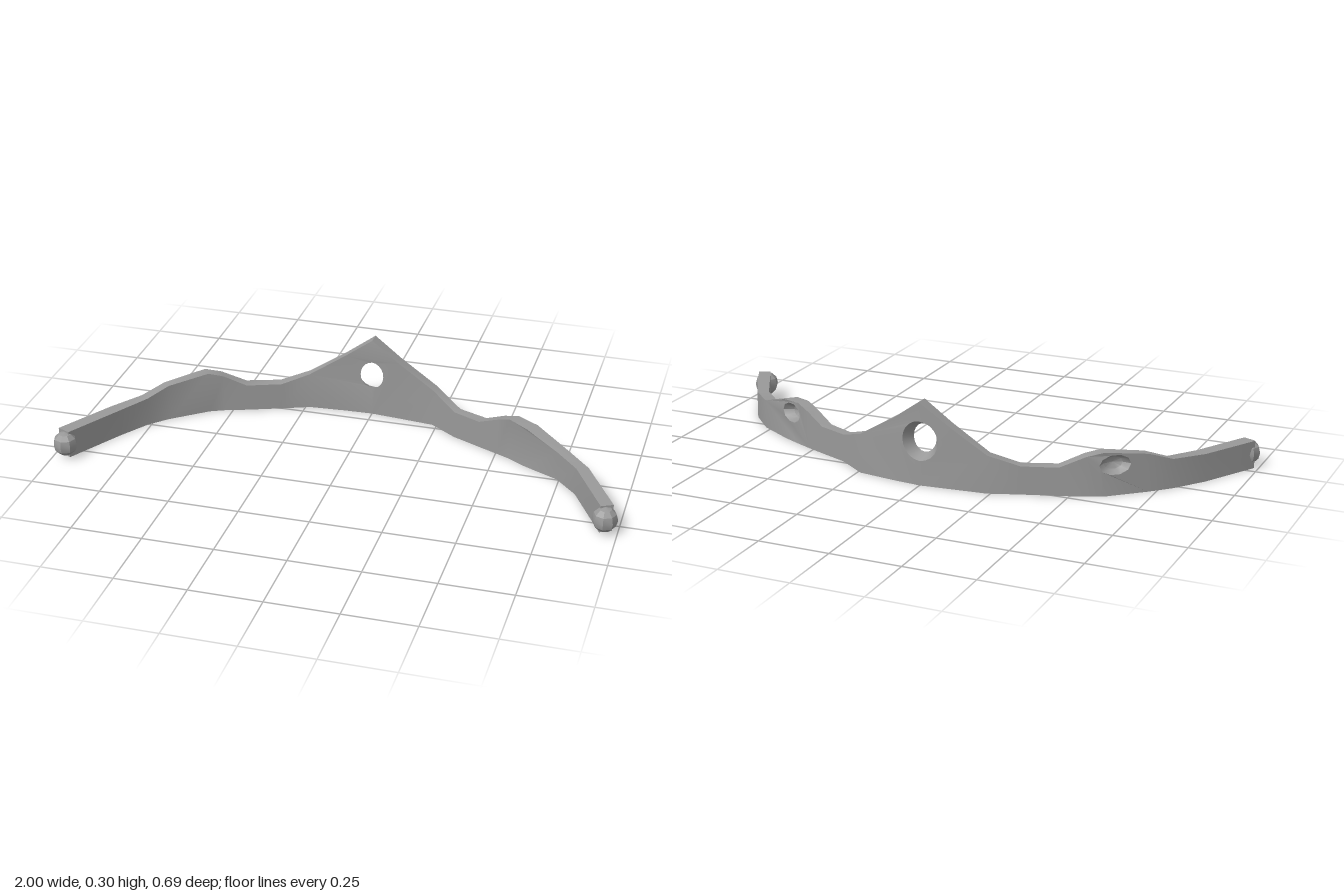
import * as THREE from 'three';
import { toCreasedNormals } from 'three/addons/utils/BufferGeometryUtils.js';

// Band stations: inner x, inner z, outer x, outer z, top height
const stations = [
  [-0.94, 0.305, -0.985, 0.285, 0.1], [-0.83, 0.11, -0.87, 0.085, 0.1],
  [-0.76, 0.0, -0.79, -0.02, 0.105], [-0.7, -0.06, -0.725, -0.085, 0.135],
  [-0.58, -0.155, -0.605, -0.19, 0.155], [-0.53, -0.178, -0.55, -0.215, 0.14],
  [-0.45, -0.205, -0.465, -0.245, 0.1], [-0.33, -0.25, -0.345, -0.285, 0.1],
  [-0.235, -0.288, -0.24, -0.323, 0.135], [-0.1, -0.297, -0.1, -0.336, 0.225],
  [0, -0.3, 0, -0.345, 0.297],
  [0.1, -0.29, 0.1, -0.335, 0.225], [0.235, -0.275, 0.24, -0.315, 0.14],
  [0.33, -0.207, 0.345, -0.238, 0.1], [0.43, -0.16, 0.45, -0.195, 0.1],
  [0.5, -0.128, 0.52, -0.165, 0.135], [0.55, -0.105, 0.575, -0.14, 0.155],
  [0.62, -0.062, 0.65, -0.103, 0.148], [0.74, -0.005, 0.775, -0.027, 0.105],
  [0.82, 0.08, 0.86, 0.064, 0.1], [0.94, 0.305, 0.98, 0.285, 0.1],
];

// Bends flat (u, y) onto the band; depth 0 is the inner face, 1 the outer
function bend(u, y, depth) {
  let i = 0;
  while (i < stations.length - 2 && u > stations[i + 1][0]) i++;
  const a = stations[i], b = stations[i + 1];
  const t = (u - a[0]) / (b[0] - a[0]);
  const at = (k) => THREE.MathUtils.lerp(a[k], b[k], t);
  return [
    THREE.MathUtils.lerp(at(0), at(2), depth), y,
    THREE.MathUtils.lerp(at(1), at(3), depth),
  ];
}

function ellipse(u, y, ru, ry, n = 20) {
  return Array.from({ length: n }, (_, i) => {
    const t = (i / n) * Math.PI * 2;
    return new THREE.Vector2(u + ru * Math.cos(t), y + ry * Math.sin(t));
  });
}

function bandGeometry() {
  const pos = [];
  const tri = (a, b, c) => pos.push(...a, ...b, ...c);
  const quad = (a, b, c, d) => { tri(a, b, c); tri(a, c, d); };

  // One wall of the band between two stations, with an optional opening
  function wall(from, to, depth, hole) {
    const run = stations.slice(from, to + 1);
    const outline = [
      ...run.map((s) => new THREE.Vector2(s[0], 0)),
      ...run.map((s) => new THREE.Vector2(s[0], s[4])).reverse(),
    ];
    const shape = new THREE.Shape(outline);
    if (hole) shape.holes.push(new THREE.Path(hole));
    const flat = new THREE.ShapeGeometry(shape);
    const p = flat.attributes.position, ix = flat.index.array;
    for (let i = 0; i < ix.length; i += 3) {
      const [a, b, c] = [0, 1, 2].map((k) => bend(p.getX(ix[i + k]), p.getY(ix[i + k]), depth));
      if (depth) tri(a, c, b); else tri(a, b, c);
    }
  }

  // Inside of an opening between a front ring and a back ring
  function bore(front, frontDepth, back, backDepth) {
    front.forEach((f, i) => {
      const j = (i + 1) % front.length, f2 = front[j], b = back[i], b2 = back[j];
      quad(bend(f.x, f.y, frontDepth), bend(f2.x, f2.y, frontDepth),
        bend(b2.x, b2.y, backDepth), bend(b.x, b.y, backDepth));
    });
  }

  // Central peak with its countersunk hole
  const front = ellipse(0, 0.158, 0.043, 0.051), back = ellipse(0, 0.158, 0.066, 0.07);
  wall(8, 12, 0, front);
  wall(8, 12, 1, back);
  bore(front, 0, back, 1);

  // Side crests with a pocket in the outer face
  for (const [from, to, u] of [[3, 5, -0.61], [15, 18, 0.585]]) {
    const y = 0.108, rim = ellipse(u, y, 0.043, 0.036, 10), floor = ellipse(u, y, 0.026, 0.022, 10);
    wall(from, to, 0);
    wall(from, to, 1, rim);
    bore(floor, 0.4, rim, 1);
    floor.forEach((f, i) => {
      const g = floor[(i + 1) % floor.length];
      tri(bend(g.x, g.y, 0.4), bend(f.x, f.y, 0.4), bend(u, y, 0.15));
    });
  }

  // Plain stretches of the band
  for (const [from, to] of [[0, 3], [5, 8], [12, 15], [18, 20]]) {
    for (let i = from; i < to; i++) {
      wall(i, i + 1, 0);
      wall(i, i + 1, 1);
    }
  }

  // Top and bottom edges
  const corner = (s, top, depth) => bend(s[0], top ? s[4] : 0, depth);
  for (let i = 0; i < stations.length - 1; i++) {
    const a = stations[i], b = stations[i + 1];
    quad(corner(a, 1, 0), corner(b, 1, 0), corner(b, 1, 1), corner(a, 1, 1));
    quad(corner(a, 0, 1), corner(b, 0, 1), corner(b, 0, 0), corner(a, 0, 0));
  }

  // End caps
  const l = stations[0], r = stations[stations.length - 1];
  quad(corner(l, 0, 1), corner(l, 0, 0), corner(l, 1, 0), corner(l, 1, 1));
  quad(corner(r, 0, 0), corner(r, 0, 1), corner(r, 1, 1), corner(r, 1, 0));

  const geometry = new THREE.BufferGeometry();
  geometry.setAttribute('position', new THREE.Float32BufferAttribute(pos, 3));
  return toCreasedNormals(geometry, 0.6);
}

export function createModel() {
  const model = new THREE.Group();
  model.name = 'headband';
  const grey = new THREE.MeshStandardMaterial({ color: 0x999999 });
  grey.name = 'grey';

  const band = new THREE.Mesh(bandGeometry(), grey);
  band.name = 'band';
  model.add(band);

  // Faceted knobs on both tips
  const knob = toCreasedNormals(new THREE.SphereGeometry(0.044, 8, 6).toNonIndexed(), 0.5);
  for (const side of [-1, 1]) {
    const tip = new THREE.Mesh(knob, grey);
    tip.name = side > 0 ? 'leftKnob' : 'rightKnob';
    tip.position.set(side * 0.956, 0.052, 0.301);
    model.add(tip);
  }
  return model;
}
